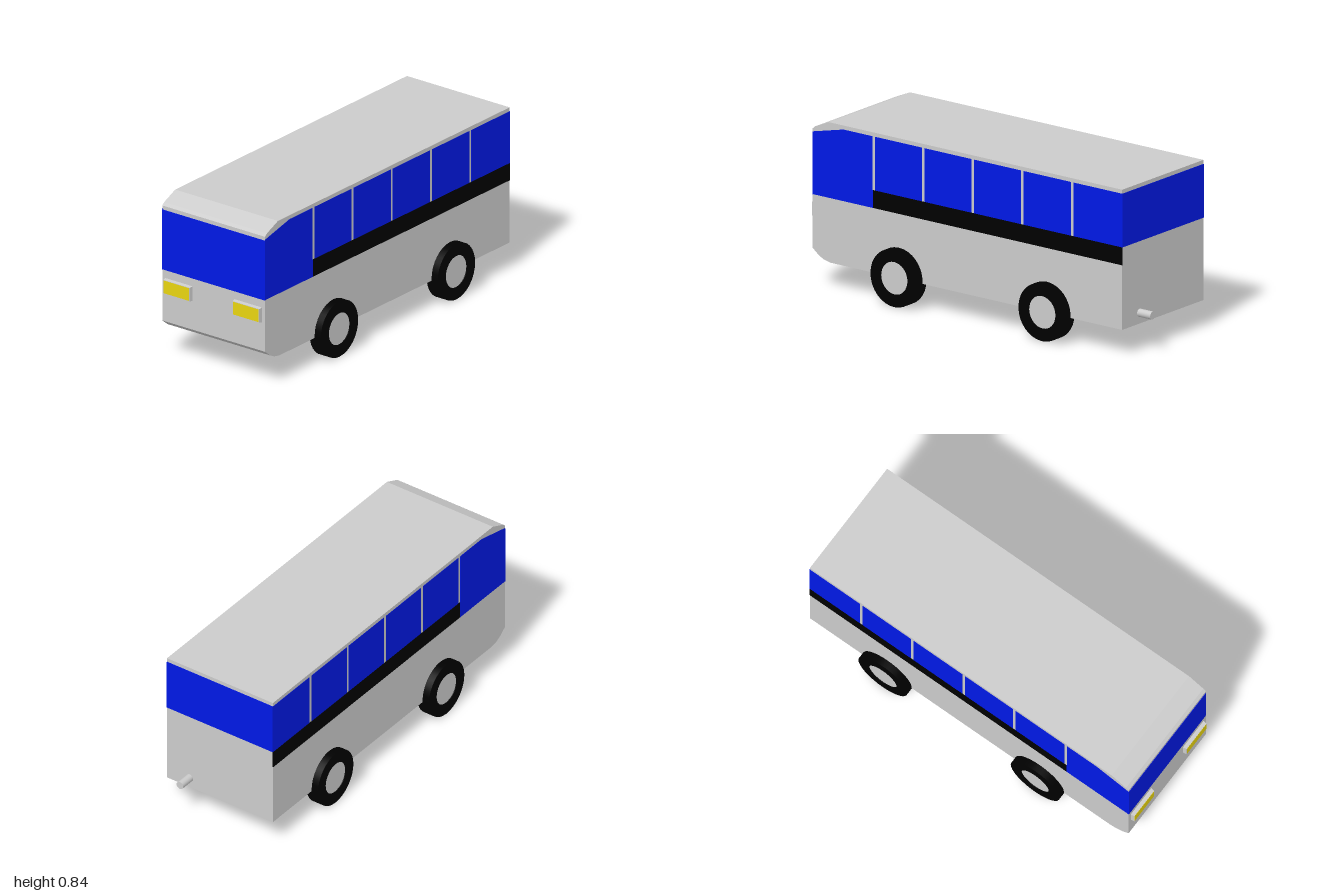
import * as THREE from 'three';

const paint = (color) => new THREE.MeshStandardMaterial({ color });
const grey = paint(0xcccccc);
const blue = paint(0x0019e6);
const black = paint(0x000000);
const yellow = paint(0xe8d510);

const HALF = 0.315, BACK = -0.92, FRONT = 0.98, FLOOR = 0.135;
const WHEEL_R = 0.145, AXLES = [0.45, -0.458];

function add(parent, name, geometry, material, x = 0, y = 0, z = 0) {
  const mesh = new THREE.Mesh(geometry, material);
  mesh.name = name;
  mesh.position.set(x, y, z);
  parent.add(mesh);
  return mesh;
}

// Extrudes a (z, y) side profile across x, centred on x = 0
function across(shape, width) {
  return new THREE.ExtrudeGeometry(shape, { depth: width, bevelEnabled: false, curveSegments: 4 })
    .translate(0, 0, -width / 2)
    .rotateY(-Math.PI / 2);
}

const outline = (points) => new THREE.Shape(points.map(([z, y]) => new THREE.Vector2(z, y)));
const rect = (z0, z1, y0, y1) => [[z0, y0], [z1, y0], [z1, y1], [z0, y1]];

// Body shell, with faceted wheel arches running right across the underside
function bodyProfile() {
  const s = new THREE.Shape();
  const dip = Math.asin((WHEEL_R - FLOOR) / WHEEL_R);
  s.moveTo(BACK, FLOOR);
  for (const z of [...AXLES].reverse()) {
    s.lineTo(z - WHEEL_R * Math.cos(dip), FLOOR);
    s.absarc(z, WHEEL_R, WHEEL_R, Math.PI + dip, -dip, true);
  }
  for (const [z, y] of [[0.87, FLOOR], [0.91, 0.143], [0.94, 0.158], [FRONT, 0.19],
    [FRONT, 0.79], [0.965, 0.803], [0.88, 0.84], [BACK, 0.84]]) s.lineTo(z, y);
  s.closePath();
  return s;
}

// Tyre with a slightly recessed hub; the axis is turned to point outwards
function makeWheel(side, z, name) {
  const wheel = new THREE.Group();
  wheel.name = name;
  const profile = [[0, -0.034], [WHEEL_R, -0.034], [WHEEL_R, 0.034], [0.082, 0.034], [0.082, 0.02]];
  // Doubled corner points keep the tyre edges crisp
  const pts = [];
  profile.forEach(([r, h], i) => {
    pts.push(new THREE.Vector2(r, h));
    if (i > 0 && i < profile.length - 1) pts.push(new THREE.Vector2(r, h));
  });
  add(wheel, 'tyre', new THREE.LatheGeometry(pts, 32), black);
  add(wheel, 'hub', new THREE.CylinderGeometry(0.083, 0.083, 0.02, 32), grey, 0, 0.02, 0);
  wheel.rotation.z = -side * Math.PI / 2;
  wheel.position.set(side * 0.319, WHEEL_R, z);
  return wheel;
}

// Tapered housing with a lens on its front face
function makeHeadlight(side) {
  const light = new THREE.Group();
  light.name = side > 0 ? 'leftHeadlight' : 'rightHeadlight';
  const housing = new THREE.BoxGeometry(0.168, 0.077, 0.02);
  const p = housing.attributes.position;
  for (let i = 0; i < p.count; i++) {
    if (p.getZ(i) > 0) p.setXY(i, p.getX(i) * 0.965, p.getY(i) * 0.92);
  }
  housing.computeVertexNormals();
  add(light, 'headlightHousing', housing, grey);
  add(light, 'headlightLens', new THREE.BoxGeometry(0.156, 0.066, 0.004), yellow, 0, 0, 0.009);
  light.position.set(side * 0.213, 0.378, FRONT + 0.009);
  return light;
}

export function createModel() {
  const bus = new THREE.Group();
  bus.name = 'bus';

  add(bus, 'body', across(bodyProfile(), 2 * HALF), grey);

  // Glazing across the front and back
  add(bus, 'windscreen', new THREE.BoxGeometry(2 * HALF, 0.312, 0.004), blue, 0, 0.614, FRONT);
  add(bus, 'rearWindow', new THREE.BoxGeometry(2 * HALF, 0.27, 0.004), blue, 0, 0.685, BACK);

  // Side glazing, dark band and wheels
  const pillars = [0.605, 0.3, -0.003, -0.308, -0.613], gap = 0.008;
  for (const side of [1, -1]) {
    const panel = (name, points, material) =>
      add(bus, name, across(outline(points), 0.002), material, side * HALF);
    panel('frontSideWindow', [[0.61, 0.46], [FRONT, 0.46], [FRONT, 0.775], [0.79, 0.82], [0.613, 0.82], [0.613, 0.55], [0.61, 0.55]], blue);
    pillars.forEach((z, i) => {
      const end = i + 1 < pillars.length ? pillars[i + 1] + gap : BACK;
      panel('sideWindow', rect(end, z - gap, 0.55, 0.82), blue);
    });
    panel('sideBand', rect(BACK, 0.61, 0.46, 0.55), black);

    AXLES.forEach((z, i) => bus.add(makeWheel(side, z, i ? 'rearWheel' : 'frontWheel')));
    bus.add(makeHeadlight(side));
  }

  // Exhaust pipe
  add(bus, 'exhaustPipe', new THREE.CylinderGeometry(0.02, 0.02, 0.1, 16).rotateX(Math.PI / 2), grey, 0.18, 0.19, -0.95);

  return bus;
}
